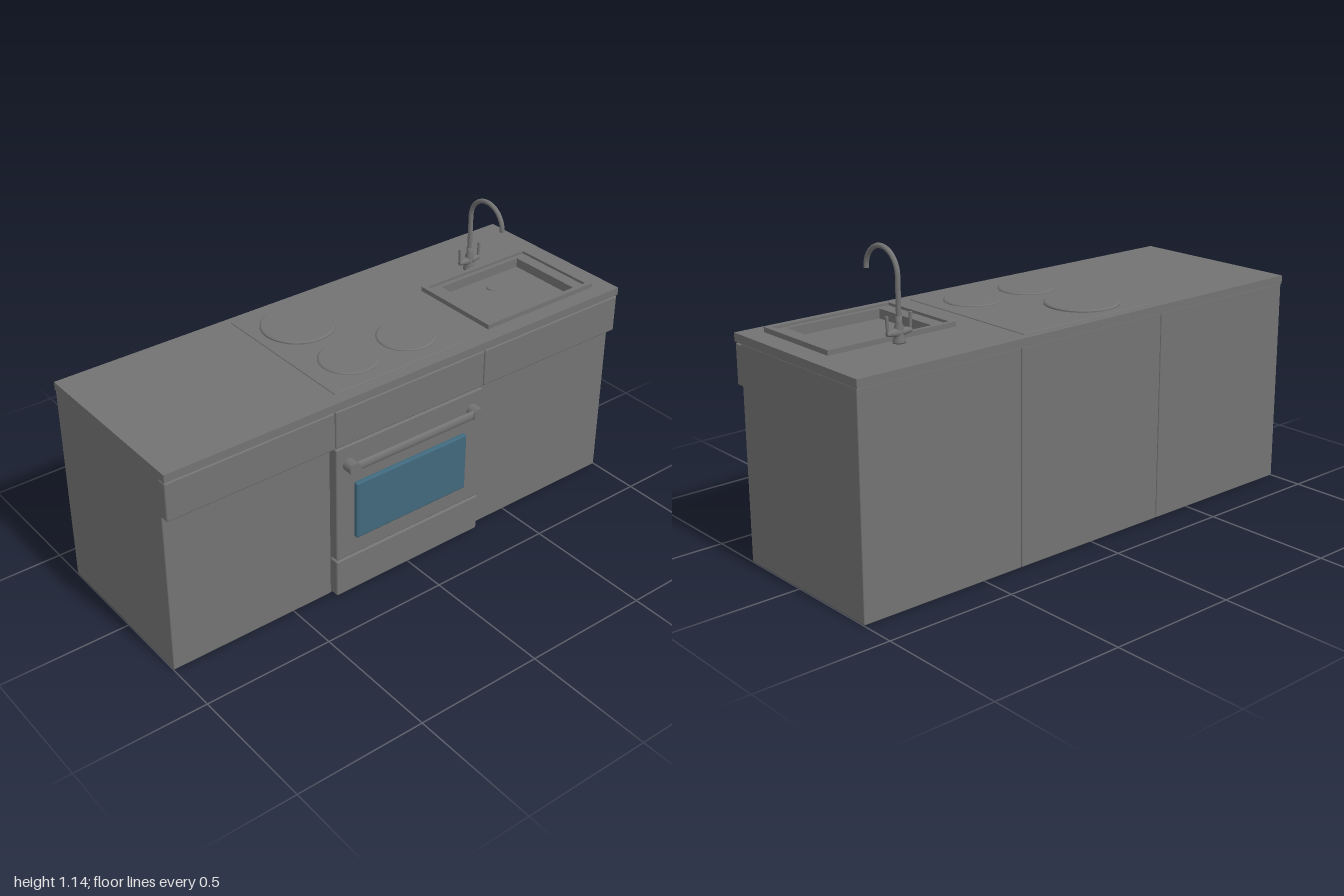
import * as THREE from 'three';
import { RoundedBoxGeometry } from 'three/addons/geometries/RoundedBoxGeometry.js';

const grey = new THREE.MeshStandardMaterial({ color: 0x737373 });
const glass = new THREE.MeshStandardMaterial({ color: 0x40687c });

export function createModel() {
  const kitchen = new THREE.Group();
  kitchen.name = 'kitchenUnit';

  const add = (name, geometry, material = grey, parent = kitchen) => {
    const mesh = new THREE.Mesh(geometry, material);
    mesh.name = name;
    parent.add(mesh);
    return mesh;
  };
  // Softly rounded box given by its extents
  const block = (name, x0, x1, y0, y1, z0, z1, material, r = 0.004) => {
    const mesh = add(name, new RoundedBoxGeometry(x1 - x0, y1 - y0, z1 - z0, 2, r), material);
    mesh.position.set((x0 + x1) / 2, (y0 + y1) / 2, (z0 + z1) / 2);
    return mesh;
  };
  // Flat rectangle outline in x/z; rect = [x0, x1, z0, z1]
  const outline = (Type, [x0, x1, z0, z1]) => new Type([
    new THREE.Vector2(x0, -z1), new THREE.Vector2(x1, -z1),
    new THREE.Vector2(x1, -z0), new THREE.Vector2(x0, -z0)]);
  // Horizontal slab with a rectangular opening
  const ring = (name, outer, inner, y0, y1) => {
    const shape = outline(THREE.Shape, outer);
    shape.holes.push(outline(THREE.Path, inner));
    const geometry = new THREE.ExtrudeGeometry(shape, { depth: y1 - y0, bevelEnabled: false });
    geometry.rotateX(-Math.PI / 2);
    add(name, geometry).position.y = y0;
  };
  const cylinder = (name, rTop, rBottom, h, x, y, z, parent) => {
    const mesh = add(name, new THREE.CylinderGeometry(rTop, rBottom, h, 48), grey, parent);
    mesh.position.set(x, y, z);
    return mesh;
  };

  // Three cabinets with drawer fronts under one worktop
  const basin = [0.47, 0.855, -0.07, 0.235];
  for (const i of [-1, 0, 1]) {
    const x0 = i * 0.6667 - 0.3333, x1 = i * 0.6667 + 0.3333;
    block('cabinet', x0 + 0.001, x1 - 0.001, 0, 0.79, -0.365, 0.295);
    block('drawerFront', x0 + 0.001, x1 - 0.001, 0.637, 0.785, 0.285, 0.328, grey, 0.006);
  }
  ring('worktop', [-1, 1, -0.368, 0.33], basin, 0.789, 0.82);

  // Oven front
  block('ovenDoor', -0.332, 0.332, 0.161, 0.632, 0.285, 0.328, grey, 0.006);
  block('bottomDrawer', -0.332, 0.332, 0.004, 0.155, 0.285, 0.328, grey, 0.006);
  block('ovenWindow', -0.255, 0.25, 0.235, 0.471, 0.315, 0.344, glass, 0.008);
  const handle = new THREE.Group();
  handle.name = 'ovenHandle';
  kitchen.add(handle);
  for (const s of [-1, 1]) {
    cylinder('handleMount', 0.024, 0.024, 0.048, s * 0.28, 0.557, 0.346, handle).rotation.x = Math.PI / 2;
  }
  const bar = cylinder('handleBar', 0.018, 0.018, 0.56, 0, 0.557, 0.357, handle);
  bar.rotation.z = Math.PI / 2;
  bar.scale.z = 0.5;

  // Hob: thin plate with three hotplates
  block('hobPlate', -0.302, 0.298, 0.81, 0.824, -0.338, 0.285, grey, 0.004);
  const hotplate = (x, z, r, top) => {
    const points = [[0, 0.815], [r, 0.815], [r, top - 0.004], [r - 0.005, top], [0, top]]
      .map(([a, b]) => new THREE.Vector2(a, b));
    // Separate corners keep the disc top flat
    const geometry = new THREE.LatheGeometry(points, 64).toNonIndexed();
    geometry.computeVertexNormals();
    add('hotplate', geometry).position.set(x, 0, z);
  };
  hotplate(-0.125, -0.17, 0.137, 0.833);
  hotplate(-0.125, 0.126, 0.108, 0.83);
  hotplate(0.133, 0.126, 0.108, 0.83);

  // Sink: raised rim, lower ledge, shallow basin and drain
  const ledge = [0.418, 0.902, -0.088, 0.25];
  ring('sinkRim', [0.4, 0.923, -0.105, 0.267], ledge, 0.815, 0.838);
  ring('sinkLedge', ledge, basin, 0.789, 0.828);
  block('basinFloor', 0.46, 0.865, 0.785, 0.792, -0.08, 0.245, grey, 0.001);
  cylinder('drain', 0.022, 0.025, 0.007, 0.662, 0.794, 0.005);

  // Tap: flared foot, curved spout, two levers
  const tap = new THREE.Group();
  tap.name = 'tap';
  tap.position.set(0.662, 0.82, -0.134);
  kitchen.add(tap);
  const foot = [[0, 0], [0.022, 0], [0.022, 0.006], [0.017, 0.022], [0.016, 0.055], [0.011, 0.066], [0.011, 0.09], [0, 0.09]];
  add('tapFoot', new THREE.LatheGeometry(foot.map(([a, b]) => new THREE.Vector2(a, b)), 32), grey, tap);

  const spout = new THREE.CurvePath();
  const R = 0.086, rise = 0.222;
  const arc = [];
  for (let k = 0; k <= 16; k++) {
    const a = Math.PI * (1 - k / 16);
    arc.push(new THREE.Vector3(0, rise + R * Math.sin(a), R + R * Math.cos(a)));
  }
  spout.add(new THREE.LineCurve3(new THREE.Vector3(0, 0.05, 0), arc[0]));
  spout.add(new THREE.CatmullRomCurve3(arc));
  add('spout', new THREE.TubeGeometry(spout, 80, 0.009, 16), grey, tap);
  cylinder('spoutTip', 0.009, 0.009, 0.004, 0, rise, 2 * R, tap);

  for (const s of [-1, 1]) {
    const arm = cylinder('leverArm', 0.008, 0.017, 0.045, s * 0.027, 0.036, 0, tap);
    arm.rotation.z = -s * Math.PI / 2;
    cylinder('lever', 0.006, 0.005, 0.064, s * 0.047, 0.064, 0, tap).rotation.z = -s * 0.06;
  }
  return kitchen;
}
